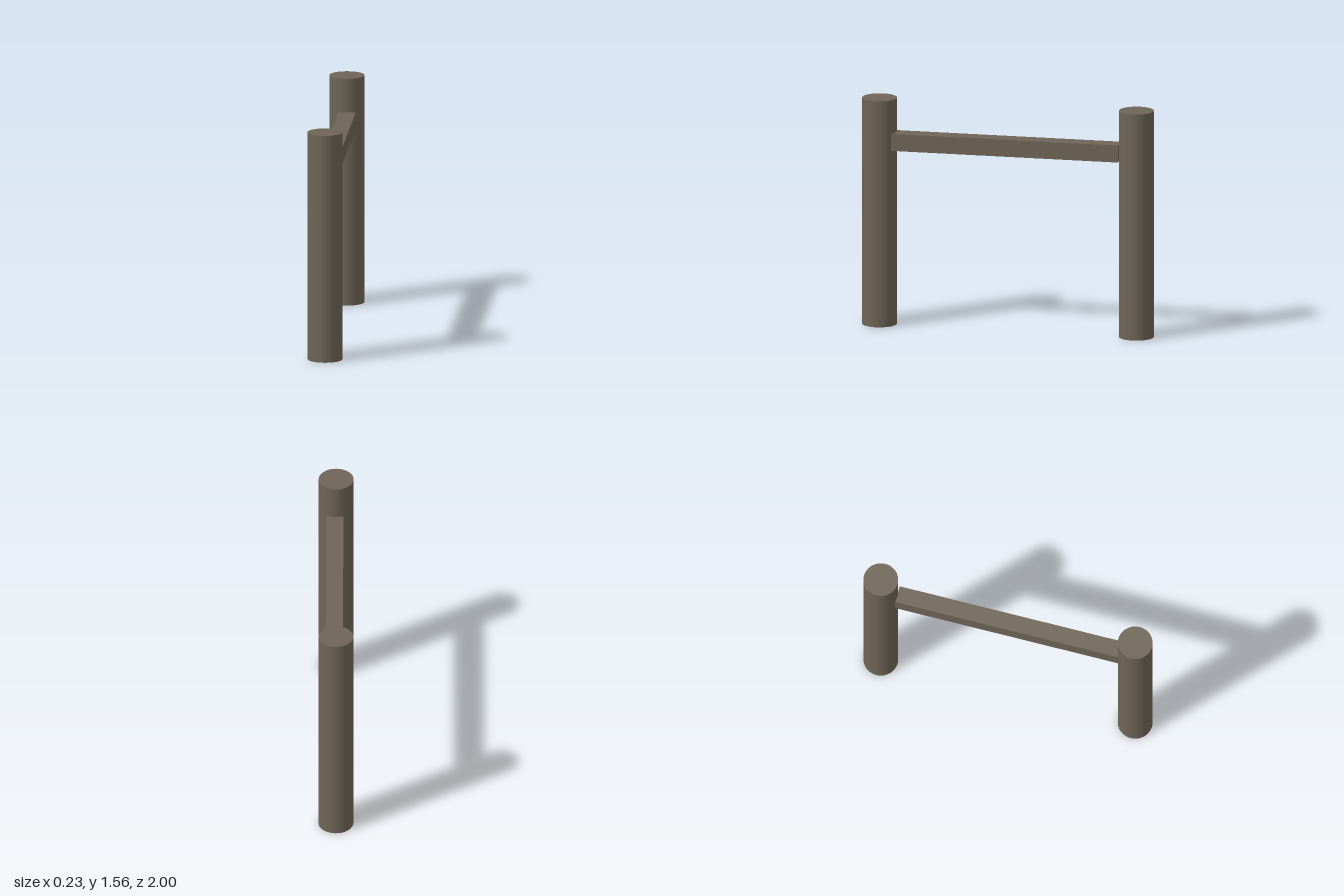
import * as THREE from 'three';

export function createModel() {
  const group = new THREE.Group();
  const wood = new THREE.MeshStandardMaterial({ color: 0x6f6557 });
  wood.name = 'weathered wood';

  const length = 1.56;
  const radius = 0.117;

  // Two upright round posts, front and back
  const postGeometry = new THREE.CylinderGeometry(radius, radius, length, 48);
  for (const [name, side] of [['frontPost', 1], ['backPost', -1]]) {
    const post = new THREE.Mesh(postGeometry, wood);
    post.name = name;
    post.position.set(0, length / 2, side * (1 - radius));
    group.add(post);
  }

  // Square crossbar between the posts, set slightly off centre
  const crossbar = new THREE.Mesh(new THREE.BoxGeometry(0.117, 0.117, length), wood);
  crossbar.name = 'crossbar';
  crossbar.position.set(0.01, 1.27, 0.01);
  group.add(crossbar);

  return group;
}
